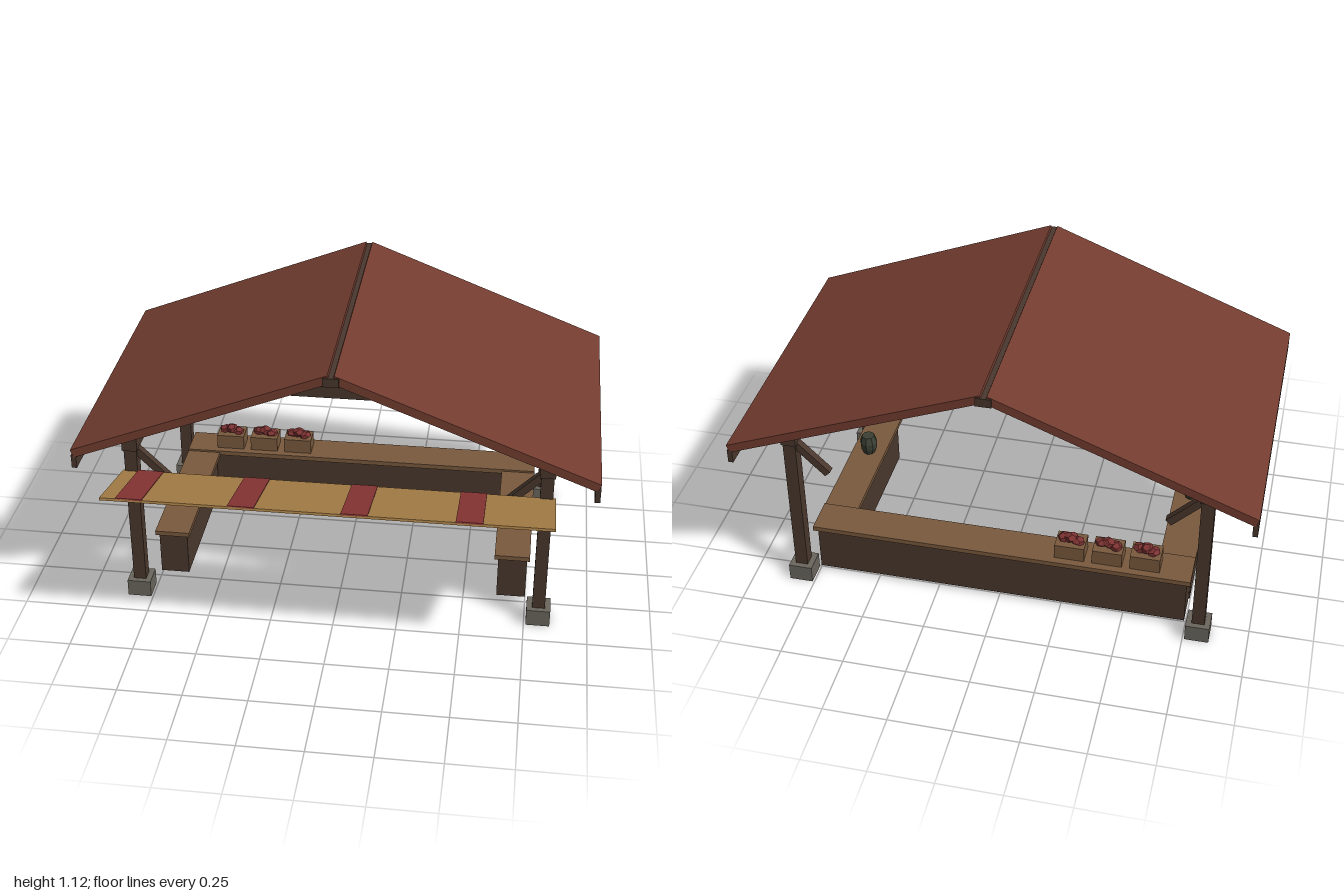
import * as THREE from 'three';

const mat = (color) => new THREE.MeshStandardMaterial({ color, flatShading: true });

export function createModel() {
  const root = new THREE.Group();
  const timber = mat(0x4a382e), plank = mat(0x7a5a3e), roofRed = mat(0x743d30);
  const stone = mat(0x6b675e), cloth = mat(0xa88048), stripeRed = mat(0x8a3535);
  const clay = mat(0x3c4034), produceRed = mat(0x7d3232);

  const add = (name, geometry, material, x, y, z, parent = root) => {
    const mesh = new THREE.Mesh(geometry, material);
    mesh.name = name;
    mesh.position.set(x, y, z);
    parent.add(mesh);
    return mesh;
  };
  const box = (name, material, w, h, d, x, y, z, parent) =>
    add(name, new THREE.BoxGeometry(w, h, d), material, x, y, z, parent);

  const midZ = -0.0975; // centre of the roof and posts

  // Posts on stone footings, each with a short knee brace
  for (const sx of [-1, 1]) {
    for (const z of [0.355, -0.55]) {
      box('footing', stone, 0.094, 0.07, 0.094, sx * 0.805, 0.035, z);
      box('post', timber, 0.05, 0.67, 0.05, sx * 0.805, 0.405, z);
      const brace = box('kneeBrace', timber, 0.03, 0.2, 0.03, sx * 0.733, 0.618, z);
      brace.rotation.z = -sx * Math.PI / 4;
    }
    box('sideBeam', timber, 0.06, 0.06, 0.97, sx * 0.805, 0.705, midZ);
  }

  // Cross beams in the middle of the roof
  box('tieBeam', timber, 1.68, 0.05, 0.06, 0, 0.735, midZ);
  box('upperTieBeam', timber, 1.6, 0.04, 0.05, 0, 0.78, midZ);

  // Gable roof: two sloped slabs, ridge beam and eave boards
  const roofDepth = 1.222, thick = 0.034;
  const inner = new THREE.Vector2(0.013, 1.125), eave = new THREE.Vector2(1, 0.74);
  const slope = Math.atan2(inner.y - eave.y, eave.x - inner.x);
  for (const sx of [-1, 1]) {
    const x = (inner.x + eave.x) / 2 - Math.sin(slope) * thick / 2;
    const y = (inner.y + eave.y) / 2 - Math.cos(slope) * thick / 2;
    const slab = box('roofSlab', roofRed, inner.distanceTo(eave), thick, roofDepth, sx * x, y, midZ);
    slab.rotation.z = -sx * slope;
    box('eaveBoard', timber, 0.02, 0.055, roofDepth, sx * 0.989, 0.69, midZ);
  }
  box('ridgeBeam', timber, 0.06, 0.035, 1.234, 0, 1.099, midZ);

  // Sloping awning with stripes across it
  const awning = new THREE.Group();
  awning.name = 'awning';
  awning.position.set(0, 0.616, 0.541);
  awning.rotation.x = -Math.atan2(0.087, 0.345);
  root.add(awning);
  box('awningCloth', cloth, 1.68, 0.01, 0.354, 0, 0, 0, awning);
  for (let i = 0; i < 4; i++) {
    box('awningStripe', stripeRed, 0.1, 0.006, 0.354, -0.73 + i * 0.42, 0.005, 0, awning);
  }

  // Counters: one across the back, one along each side
  box('backCounter', timber, 1.49, 0.195, 0.12, 0, 0.1175, -0.455);
  box('backCounterTop', plank, 1.52, 0.02, 0.15, 0, 0.225, -0.455);
  const potProfile = [[0, 0], [0.024, 0], [0.035, 0.028], [0.037, 0.055], [0.027, 0.085], [0, 0.085]]
    .map(([r, y]) => new THREE.Vector2(r, y));
  for (const sx of [-1, 1]) {
    box('sideCounter', timber, 0.115, 0.19, 0.625, sx * 0.692, 0.113, -0.0725);
    box('sideCounterTop', plank, 0.14, 0.019, 0.675, sx * 0.69, 0.2175, -0.0725);
    add('pot', new THREE.LatheGeometry(potProfile, 8), clay, sx * 0.688, 0.227, 0);
  }

  // Crates heaped with produce
  for (let i = 0; i < 3; i++) {
    const x = -0.576 + i * 0.149;
    box('crate', plank, 0.118, 0.062, 0.09, x, 0.266, -0.455);
    for (const k of [-1, 0, 1]) {
      const fruit = add('produce', new THREE.DodecahedronGeometry(0.026), produceRed,
        x + k * 0.028, k ? 0.305 : 0.312, -0.455 + k * 0.006);
      fruit.scale.set(1, k ? 0.65 : 0.8, 1.1);
      fruit.rotation.y = k * 0.7 + i;
    }
  }
  return root;
}
